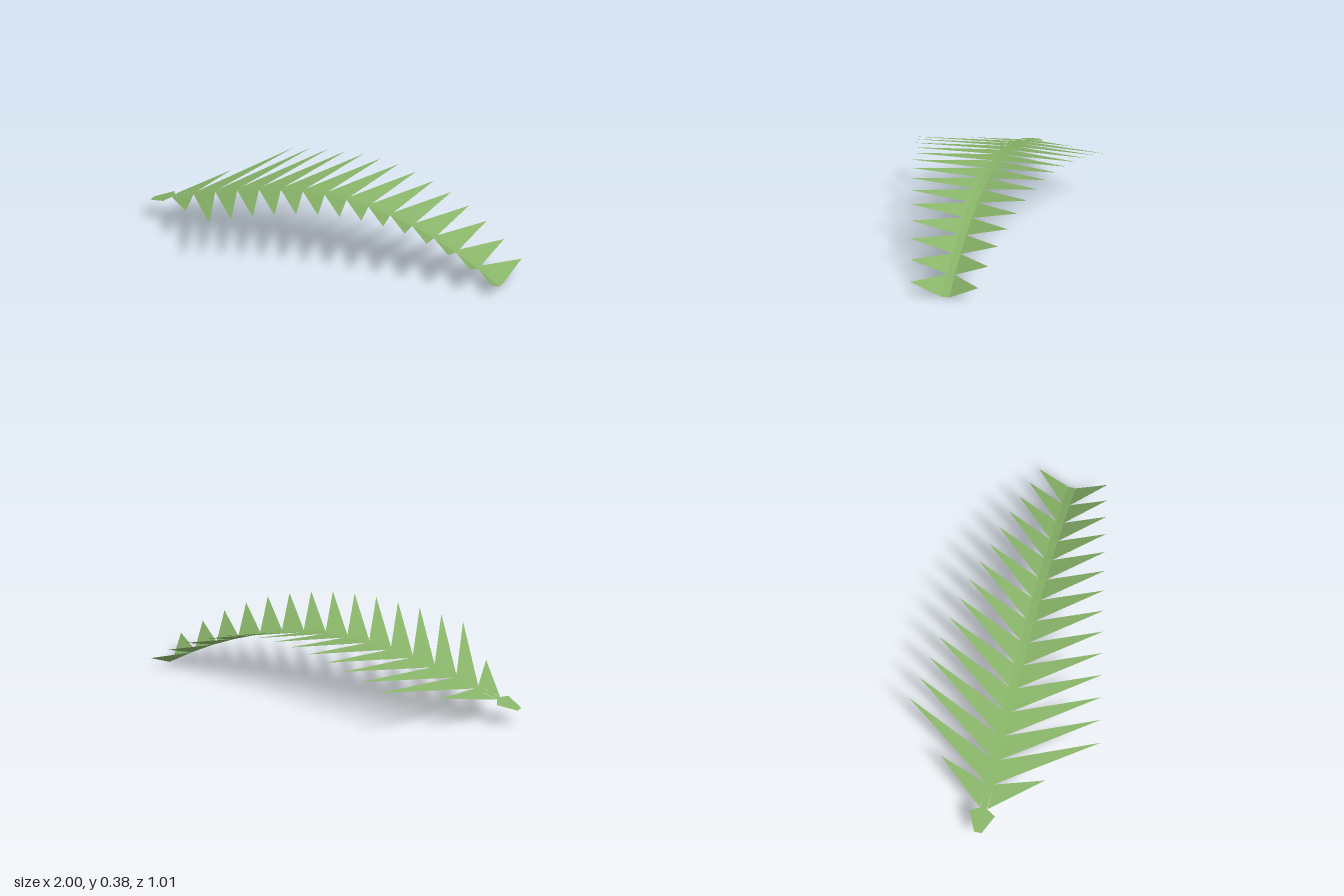
import * as THREE from 'three';

const LEAFLETS = 15;
const HALF = 0.02; // half width of the midrib
const tipHeights = [0.207, 0.283, 0.315, 0.341, 0.361, 0.377, 0.385, 0.385,
  0.375, 0.355, 0.325, 0.28, 0.226, 0.157, 0.079];

// Height of the arching midrib at x
const archY = (x) => 0.322 - 0.342 * x * x - 0.12 * Math.min(x, 0) ** 3;
const stationX = (i) => -0.88 + (1.85 * i) / LEAFLETS;
const onArch = (x, z) => [x, archY(x), z];

function surface(name, triangles, material) {
  const geometry = new THREE.BufferGeometry();
  geometry.setAttribute('position', new THREE.Float32BufferAttribute(triangles.flat(2), 3));
  geometry.computeVertexNormals();
  const mesh = new THREE.Mesh(geometry, material);
  mesh.name = name;
  return mesh;
}

// Two triangles facing up, spanning the midrib between two stations
function strip(x0, w0, x1, w1) {
  const a = onArch(x0, w0), b = onArch(x1, w1), c = onArch(x1, -w1), d = onArch(x0, -w0);
  return [[a, b, c], [a, c, d]];
}

export function createModel() {
  const group = new THREE.Group();
  group.name = 'palmFrond';
  const green = new THREE.MeshStandardMaterial({
    color: 0x88b368, flatShading: true, side: THREE.DoubleSide,
  });

  // Flared stalk end
  group.add(surface('stalk', [
    ...strip(-1, 0.02, -0.905, 0.067),
    ...strip(-0.905, 0.067, stationX(0), 0.018),
  ], green));

  // Arched midrib
  const rib = [];
  for (let i = 0; i < LEAFLETS; i++) {
    rib.push(...strip(stationX(i), i ? HALF : 0.018, stationX(i + 1), HALF));
  }
  group.add(surface('midrib', rib, green));

  // Pointed leaflets, mirrored on both sides and shrinking toward the tip
  for (const side of [1, -1]) {
    const leaflets = new THREE.Group();
    leaflets.name = side > 0 ? 'frontLeaflets' : 'backLeaflets';
    for (let i = 0; i < LEAFLETS; i++) {
      const tipX = i ? -0.44 + 0.1108 * (i - 1) : -0.68;
      const tipZ = i ? 0.505 - 0.025 * (i - 1) : 0.275;
      const start = onArch(stationX(i), side * HALF);
      const end = onArch(stationX(i + 1), side * HALF);
      const tip = [tipX, tipHeights[i], side * tipZ];
      leaflets.add(surface('leaflet', [side > 0 ? [start, tip, end] : [start, end, tip]], green));
    }
    group.add(leaflets);
  }
  return group;
}
